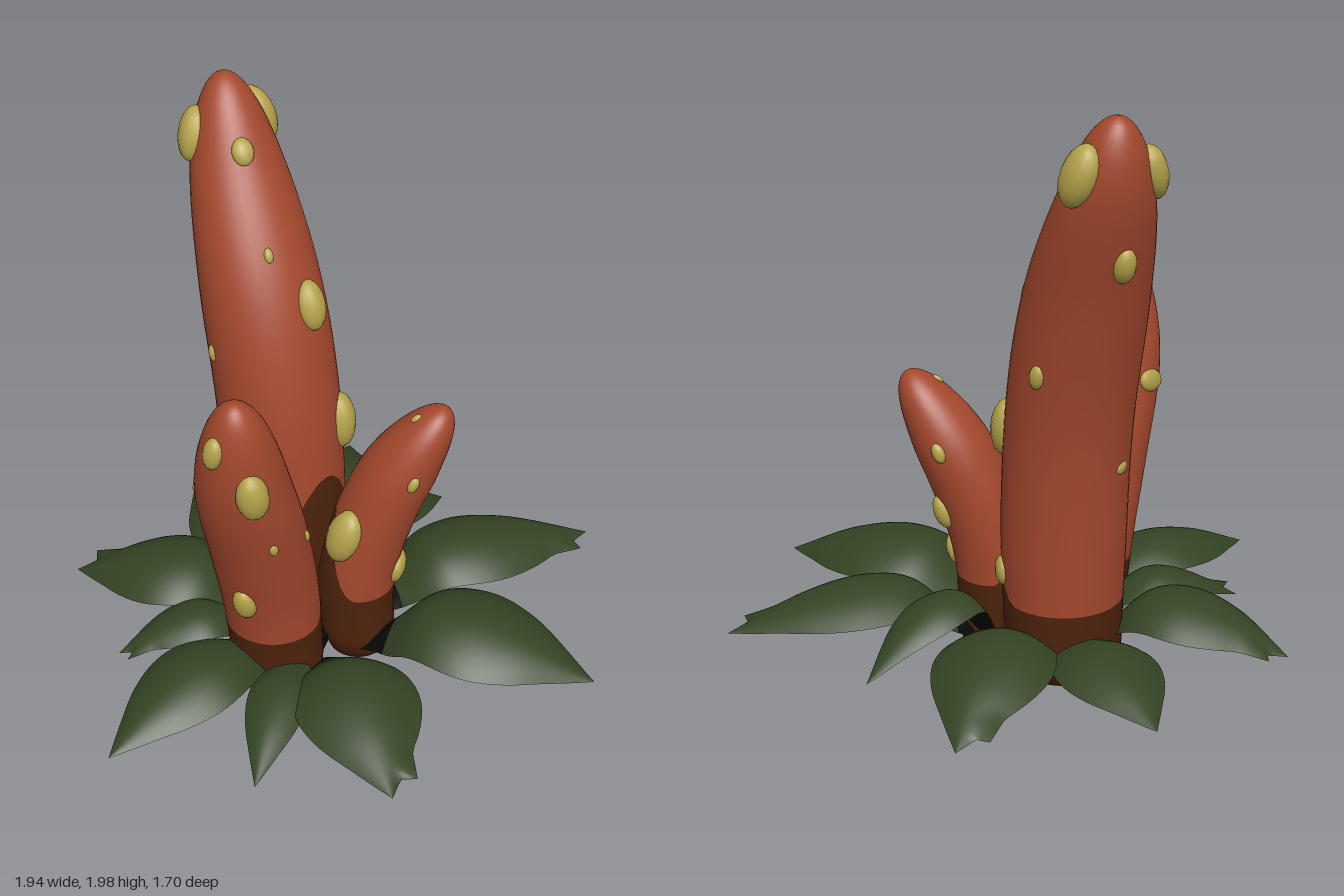
import * as THREE from 'three';

const make = (name, color) => {
  const m = new THREE.MeshStandardMaterial({ color });
  m.name = name;
  return m;
};

// Smooth surface from fn(u, v); u runs sideways (optionally closed), v runs upward or outward
function surface(name, material, fn, nu, nv, closed) {
  const pos = [], idx = [], cols = closed ? nu : nu + 1;
  for (let j = 0; j <= nv; j++)
    for (let i = 0; i < cols; i++) pos.push(...fn(i / nu, j / nv));
  for (let j = 0; j < nv; j++)
    for (let i = 0; i < nu; i++) {
      const a = j * cols + i, b = j * cols + ((i + 1) % cols), c = a + cols, d = b + cols;
      idx.push(a, c, b, b, c, d);
    }
  const g = new THREE.BufferGeometry();
  g.setAttribute('position', new THREE.Float32BufferAttribute(pos, 3));
  g.setIndex(idx);
  g.computeVertexNormals();
  const mesh = new THREE.Mesh(g, material);
  mesh.name = name;
  return mesh;
}

// Smooth lookup through rows of [key, ...values]
function track(rows) {
  const size = rows[0].length - 1;
  const c = new THREE.CubicInterpolant(rows.map(r => r[0]), rows.flatMap(r => r.slice(1)), size, new Array(size));
  return t => [...c.evaluate(t)];
}

const { lerp, smoothstep, degToRad } = THREE.MathUtils;

// spine: rows of [y, x, z]; dome: length of the rounded tip
// inner, rise: direction facing the cluster and extra height of the brown there
// warts: [y, angle in degrees, half height, width ratio]
function stalk(name, mats, { spine, radius, dome, inner, rise, warts }) {
  const group = new THREE.Group();
  group.name = name;
  const centre = track(spine), y0 = spine[0][0], y1 = spine.at(-1)[0];
  const radiusAt = y => {
    const s = Math.min(1, Math.max(0, (y1 - y) / dome));
    return radius * Math.sqrt(1 - (1 - s) ** 2) * lerp(0.94, 1, smoothstep(y, 0.1, 0.6)) * lerp(0.74, 1, smoothstep(y, 0.04, 0.15));
  };
  const point = (y, a, k = 1) => {
    const [x, z] = centre(y), r = radiusAt(y) * k;
    return [x + r * Math.cos(a), y, z + r * Math.sin(a)];
  };
  // Colour border climbs on the side that faces the other stalks
  const border = a => 0.33 + rise * Math.max(0, Math.cos(a - degToRad(inner))) ** 2;
  group.add(surface('stalkBase', mats.brown, (u, v) => {
    const a = u * Math.PI * 2;
    return point(lerp(y0, border(a), Math.max(0, (v * 12 - 1) / 11)), a, v === 0 ? 0 : 1);
  }, 36, 12, true));
  group.add(surface('stalkBody', mats.red, (u, v) => {
    const a = u * Math.PI * 2;
    return point(lerp(border(a), y1, 1 - (1 - v) ** 1.8), a);
  }, 36, 32, true));
  // Warts follow the lean of the stalk
  for (const [y, deg, size, wide = 0.62] of warts) {
    const a = degToRad(deg);
    const up = new THREE.Vector3(...point(y + 0.03, a)).sub(new THREE.Vector3(...point(y - 0.03, a))).normalize();
    const side = new THREE.Vector3(Math.sin(a), 0, -Math.cos(a));
    const out = new THREE.Vector3().crossVectors(side, up).normalize();
    side.crossVectors(up, out);
    const wart = new THREE.Mesh(new THREE.SphereGeometry(size, 14, 10), mats.yellow);
    wart.name = 'wart';
    wart.quaternion.setFromRotationMatrix(new THREE.Matrix4().makeBasis(side, up, out));
    wart.scale.set(wide, 1, 0.52);
    wart.position.set(...point(y, a, 0.98));
    group.add(wart);
  }
  return group;
}

const WIDTH = track([[0, 0.14], [0.12, 0.35], [0.25, 0.72], [0.42, 0.97], [0.55, 1], [0.7, 0.8], [0.85, 0.42], [1, 0]]);

// Arched leaf from the cluster centre to its tip; notch puts a second point on one edge
function leaf(mats, [tx, tz, half, arch, tip, notch]) {
  const group = new THREE.Group();
  group.name = 'leaf';
  const dir = new THREE.Vector2(tx + 0.05, tz + 0.02), length = dir.length() - 0.15;
  dir.normalize();
  const spine = track([[0, 0.1], [0.15, 0.2], [0.3, arch - 0.03], [0.45, arch], [0.7, lerp(tip, arch, 0.75)], [1, tip]]);
  const point = (s, t, thick) => {
    const tooth = s * notch > 0 ? Math.max(0, 1 - Math.abs(t - 0.86) / 0.06) * Math.abs(s) ** 3 : 0;
    const w = WIDTH(t)[0] * half + tooth * 0.018;
    const along = t * length + tooth * 0.06 - length;
    const y = spine(t)[0] - 0.42 * w * s * s - thick * (1 - s * s) * Math.sin(Math.PI * t);
    return [tx + dir.x * along + dir.y * s * w, y, tz + dir.y * along - dir.x * s * w];
  };
  group.add(surface('leafTop', mats.green, (u, v) => point(u * 2 - 1, lerp(0.17, 1, v), 0), 14, 30));
  group.add(surface('leafStem', mats.black, (u, v) => point(u * 2 - 1, lerp(0, 0.17, v), 0), 14, 6));
  group.add(surface('leafUnderside', mats.black, (u, v) => point(1 - u * 2, v, 0.045), 14, 30));
  return group;
}

export function createModel() {
  const mats = {
    red: make('stalk red', 0xa4482d),
    brown: make('base brown', 0x4c220c),
    yellow: make('wart yellow', 0xb5a34a),
    green: make('leaf green', 0x344424),
    black: make('leaf underside black', 0x080908),
  };
  const model = new THREE.Group();
  model.name = 'stalkPlant';

  model.add(stalk('tallStalk', mats, {
    spine: [[0.06, -0.04, -0.19], [0.65, -0.04, -0.195], [1, -0.04, -0.23], [1.4, -0.035, -0.335], [1.8, -0.01, -0.505], [2, 0, -0.565]],
    radius: 0.205, dome: 0.85, inner: 80, rise: 0.43,
    warts: [[1.35, 70, 0.085], [1.81, 108, 0.045, 0.8], [1.53, 105, 0.025], [1.83, -12, 0.1], [1.82, 205, 0.09], [1.55, 270, 0.06],
      [1.18, 188, 0.03], [1.16, -25, 0.042], [0.82, 240, 0.022, 1.4], [0.9, 42, 0.1], [0.88, 140, 0.02], [0.42, 20, 0.05, 0.95]],
  }));
  model.add(stalk('middleStalk', mats, {
    spine: [[0.05, -0.24, 0.06], [0.4, -0.26, 0.05], [0.7, -0.325, 0.08], [1, -0.405, 0.12], [1.35, -0.46, 0.17]],
    radius: 0.165, dome: 0.6, inner: -30, rise: 0.36,
    warts: [[1.05, 108, 0.085], [1.2, 165, 0.055], [0.94, 245, 0.038, 1.5], [0.8, 100, 0.025], [0.52, 150, 0.065], [0.75, 45, 0.025]],
  }));
  model.add(stalk('shortStalk', mats, {
    spine: [[0.06, 0.08, 0.07], [0.4, 0.085, 0.06], [0.8, 0.205, 0.125], [1.035, 0.305, 0.2]],
    radius: 0.138, dome: 0.32, inner: 215, rise: 0.3,
    warts: [[0.58, 170, 0.1], [0.4, 45, 0.06, 0.95], [0.57, 0, 0.06], [0.8, -45, 0.035], [0.81, 110, 0.03], [1, 200, 0.02]],
  }));

  // Leaves around the cluster: [tip x, tip z, half width, arch height, tip height, notch side]
  const leaves = [
    [0, -0.86, 0.17, 0.27, 0.16, 0], [0.61, -0.72, 0.19, 0.34, 0.18, 1], [0.69, -0.25, 0.11, 0.39, 0.2, 0],
    [0.97, 0.23, 0.185, 0.36, 0.225, -1], [0.51, 0.81, 0.22, 0.36, 0.19, 0], [-0.34, 0.84, 0.205, 0.32, 0.18, 1],
    [-0.65, 0.53, 0.1, 0.27, 0.15, 0], [-0.97, 0.17, 0.165, 0.31, 0.165, 0], [-0.7, -0.22, 0.11, 0.3, 0.18, 1],
    [-0.6, -0.68, 0.19, 0.34, 0.18, -1],
  ];
  for (const l of leaves) model.add(leaf(mats, l));

  // Root stub under the cluster
  const root = new THREE.Mesh(new THREE.CylinderGeometry(0.08, 0.03, 0.12, 10), mats.black);
  root.name = 'root';
  root.position.set(-0.06, 0.08, 0);
  root.rotation.z = 0.1;
  model.add(root);
  return model;
}
